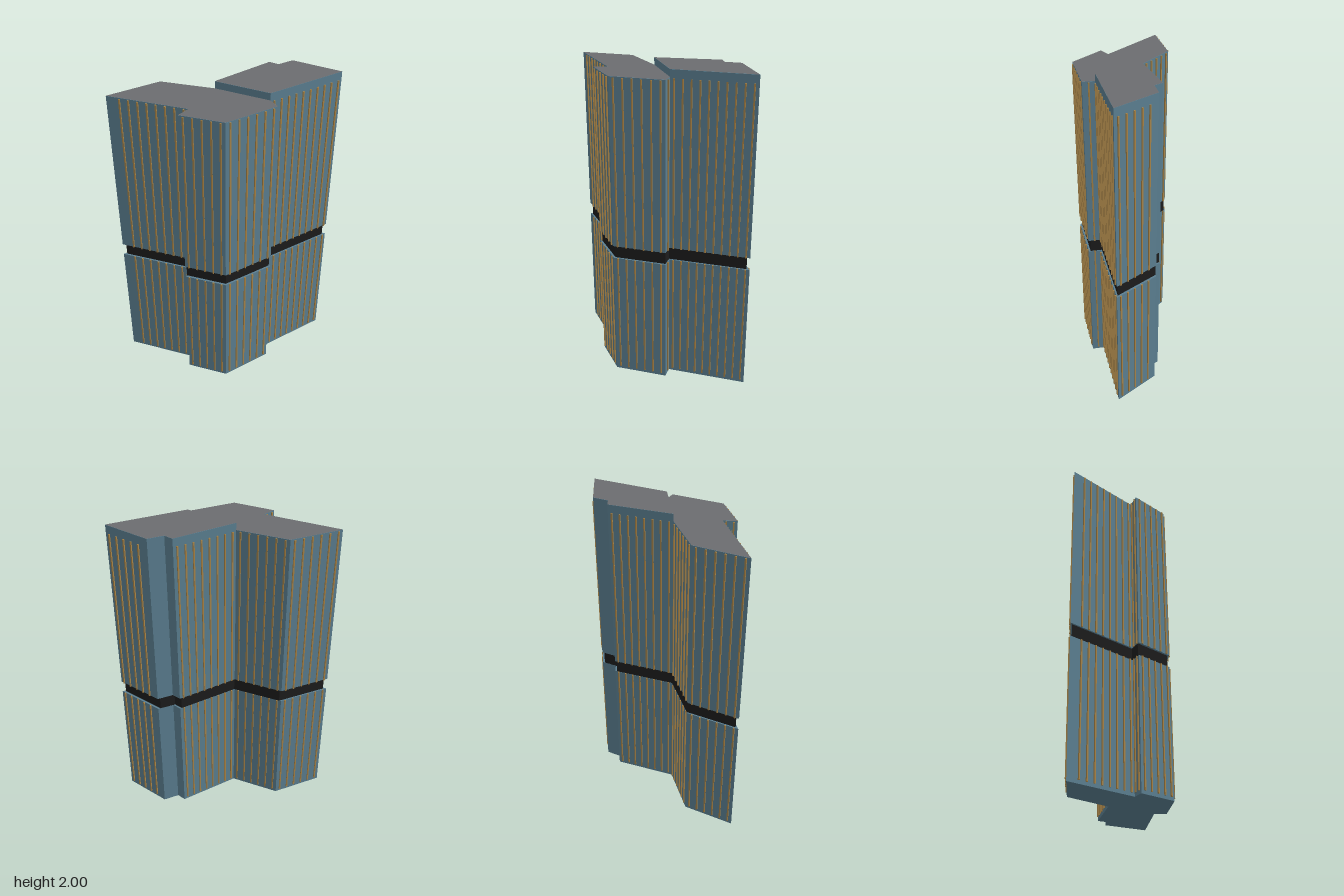
import * as THREE from 'three';
import { mergeGeometries } from 'three/addons/utils/BufferGeometryUtils.js';

const LEDGE = 0.82, SOFFIT = 0.9, FIN_BASE = 0.02, FIN_TOP = 1.95;

// Footprint corners [x, z], clockwise from above, with the fins on the wall that
// follows each corner: [count, start, end], start and end as fractions of the wall.
const walls = [
  { at: [-0.495, -0.458], fins: [6, 0, 1] },
  { at: [-0.18, -0.34], fins: [6, 0, 1] },
  { at: [-0.055, -0.04], fins: [8, 0, 1] },
  { at: [0.338, 0.055], fins: [0, 0, 1] },
  { at: [0.345, 0.115], fins: [0, 0, 1] },
  { at: [0.44, 0.15], fins: [5, 0.12, 1] },
  { at: [0.49, 0.457], fins: [10, 0, 1] },
  { at: [0.018, 0.29], fins: [1, 0, 1] },
  { at: [-0.01, 0.36], fins: [6, 0, 1] },
  { at: [-0.325, 0.248], fins: [5, 0, 1] },
  { at: [-0.415, 0], fins: [2, 0, 1] },
  { at: [-0.33, 0], fins: [8, 0, 0.89] },
];
const outline = walls.map((w) => w.at);
const westOutline = [...outline.slice(0, 3), ...outline.slice(7)];
const eastOutline = outline.slice(2, 8);

const toShape = (points, scale = 1) =>
  new THREE.Shape(points.map(([x, z]) => new THREE.Vector2(x * scale, -z * scale)));

// Upright prism over a footprint
function prism(points, y0, y1, scale) {
  return new THREE.ExtrudeGeometry(toShape(points, scale), { depth: y1 - y0, bevelEnabled: false })
    .rotateX(-Math.PI / 2).translate(0, y0, 0);
}

// Flat roof just over the top of a prism
function roofPlate(points, y) {
  return new THREE.ShapeGeometry(toShape(points)).rotateX(-Math.PI / 2).translate(0, y + 0.001, 0);
}

// Vertical fins along every wall between two heights
function finRows(y0, y1) {
  const boxes = [];
  walls.forEach(({ at: [x, z], fins: [count, start, end] }, i) => {
    const [nx, nz] = outline[(i + 1) % outline.length];
    const dx = nx - x, dz = nz - z, length = Math.hypot(dx, dz);
    for (let k = 0; k < count; k++) {
      const t = start + (end - start) * (k + 0.5) / count;
      const out = 0.003;
      boxes.push(new THREE.BoxGeometry(0.009, y1 - y0, 0.01)
        .rotateY(Math.atan2(-dz, dx))
        .translate(x + dx * t + dz / length * out, (y0 + y1) / 2, z + dz * t - dx / length * out));
    }
  });
  return mergeGeometries(boxes);
}

export function createModel() {
  const model = new THREE.Group();
  model.name = 'tower';

  const material = (name, color) => {
    const m = new THREE.MeshStandardMaterial({ color });
    m.name = name;
    return m;
  };
  const glass = material('blue glass', 0x5b7f91);
  const roof = material('roof grey', 0x6b6d70);
  const dark = material('recess black', 0x1c1c1c);
  const bronze = material('bronze', 0xa88448);

  const add = (name, geometry, mat) => {
    const mesh = new THREE.Mesh(geometry, mat);
    mesh.name = name;
    model.add(mesh);
  };

  // Lower storeys and the recessed floor
  add('lowerBlock', prism(outline, 0, LEDGE), glass);
  add('recessedFloor', prism(outline, LEDGE, SOFFIT, 0.967), dark);

  // Two upper blocks of slightly different height
  for (const [name, points, top] of [['west', westOutline, 1.955], ['east', eastOutline, 1.999]]) {
    add(name + 'UpperBlock', prism(points, SOFFIT, top), glass);
    add(name + 'Roof', roofPlate(points, top), roof);
  }

  // Facade fins
  add('lowerFins', finRows(FIN_BASE, LEDGE), bronze);
  add('upperFins', finRows(SOFFIT, FIN_TOP), bronze);

  return model;
}
